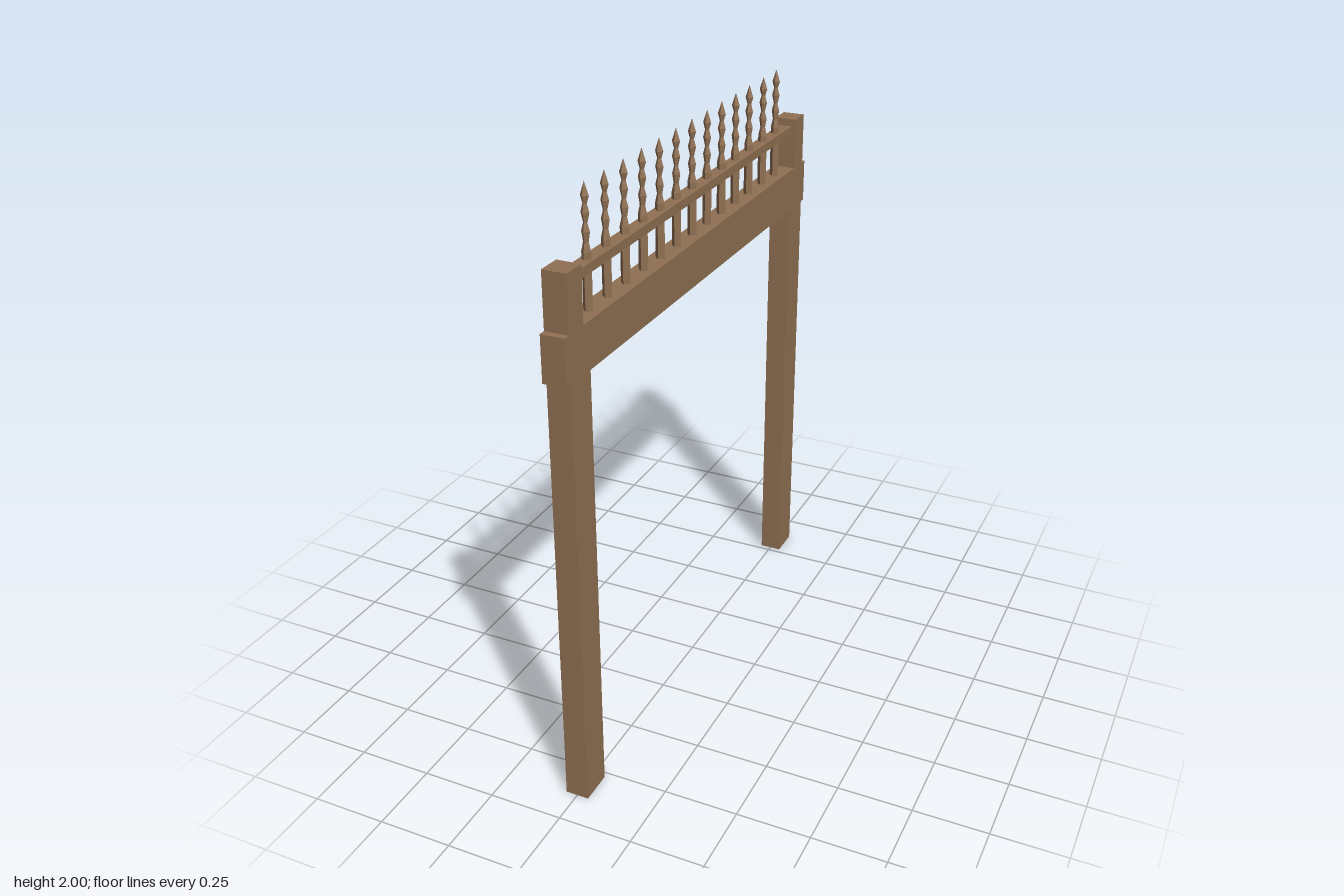
import * as THREE from 'three';

export function createModel() {
  const group = new THREE.Group();
  group.name = 'spikedGateway';
  const brown = new THREE.MeshStandardMaterial({ color: 0x8f6f52, flatShading: true });
  brown.name = 'brown';

  // Box given by its width in x and its y and z ranges
  function box(name, width, y0, y1, z0, z1) {
    const mesh = new THREE.Mesh(new THREE.BoxGeometry(width, y1 - y0, z1 - z0), brown);
    mesh.position.set(0, (y0 + y1) / 2, (z0 + z1) / 2);
    mesh.name = name;
    group.add(mesh);
  }

  // Posts: wide below the beam, narrower stubs above it
  for (const s of [-1, 1]) {
    const side = s > 0 ? 'front' : 'back';
    const span = (a, b) => (s > 0 ? [a, b] : [-b, -a]);
    box(side + 'Post', 0.078, 0, 1.47, ...span(0.77, 0.884));
    box(side + 'PostTop', 0.078, 1.62, 1.8, ...span(0.802, 0.884));
  }

  // Cross beam and the thin rail holding the spikes
  box('crossBeam', 0.078, 1.47, 1.62, -0.907, 0.907);
  box('rail', 0.046, 1.744, 1.774, -0.802, 0.802);

  // Spikes: four-sided bars with beaded, pointed tops
  const profile = [
    [0.016, 1.62], [0.016, 1.795], [0.009, 1.825], [0.014, 1.855], [0.007, 1.88],
    [0.014, 1.91], [0.007, 1.935], [0.014, 1.958], [0, 2],
  ].map(([r, y]) => new THREE.Vector2(r, y));
  const spikeGeometry = new THREE.LatheGeometry(profile, 4);
  const spikeZ = [-0.7, -0.583, -0.458, -0.342, -0.227, -0.111, 0.004, 0.12, 0.237, 0.353, 0.47, 0.586, 0.702];
  for (const z of spikeZ) {
    const spike = new THREE.Mesh(spikeGeometry, brown);
    spike.position.z = z;
    spike.name = 'spike';
    group.add(spike);
  }
  return group;
}
